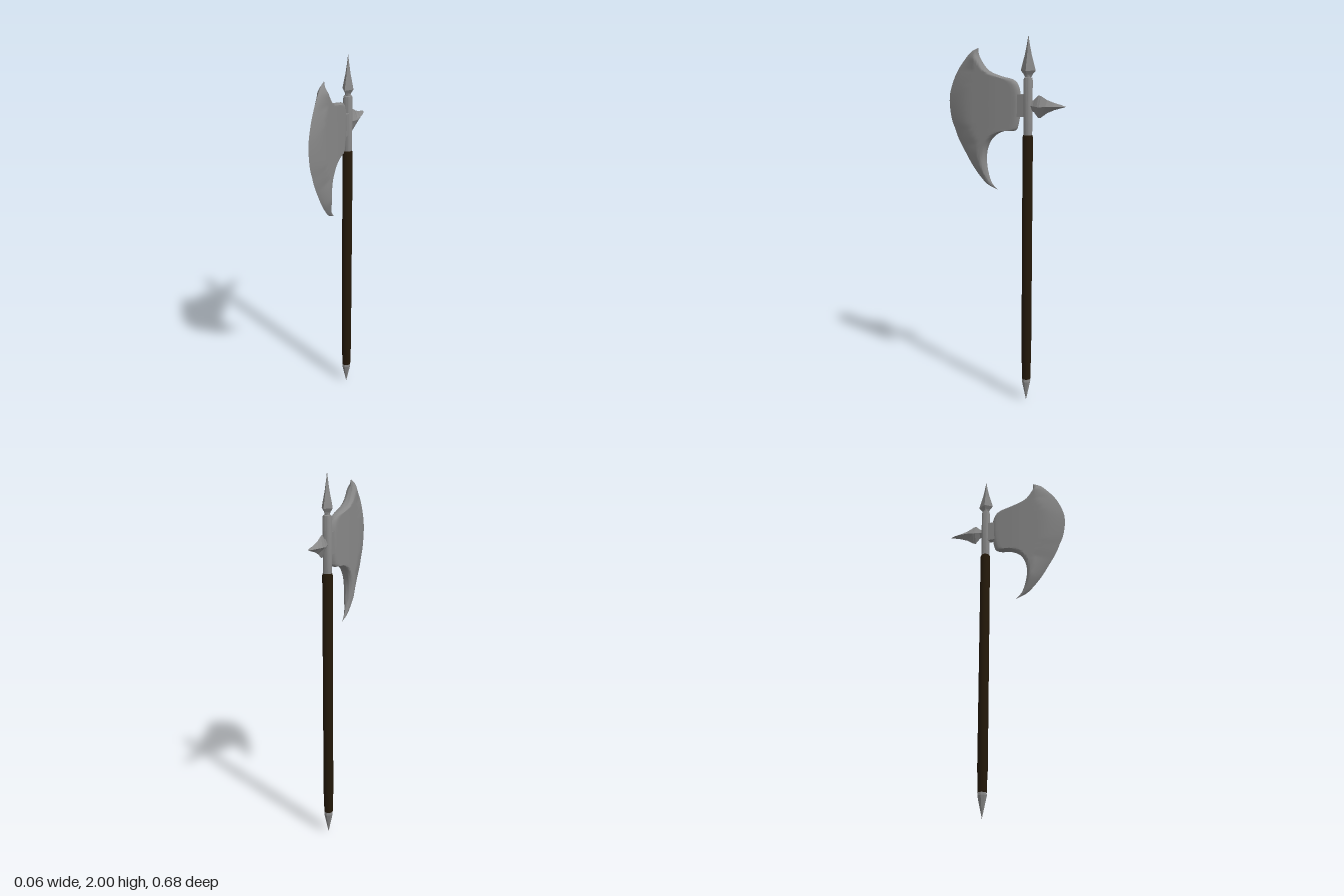
import * as THREE from 'three';
import { ParametricGeometry } from 'three/addons/geometries/ParametricGeometry.js';
import { toCreasedNormals } from 'three/addons/utils/BufferGeometryUtils.js';

const AXIS_Z = -0.127;

// Matching points on the blade: [inner z, inner y, cutting edge z, cutting edge y], top horn to bottom horn
const BLADE = [
  [0.16, 1.935, 0.16, 1.935], [0.16, 1.9, 0.205, 1.913], [0.14, 1.86, 0.242, 1.875],
  [0.1, 1.818, 0.285, 1.82], [0.03, 1.792, 0.312, 1.77], [-0.055, 1.77, 0.331, 1.72],
  [-0.08, 1.73, 0.339, 1.69], [-0.086, 1.64, 0.342, 1.64], [-0.075, 1.55, 0.335, 1.58],
  [-0.06, 1.516, 0.325, 1.54], [0, 1.51, 0.308, 1.5], [0.05, 1.49, 0.29, 1.455],
  [0.085, 1.46, 0.265, 1.41], [0.11, 1.41, 0.24, 1.37], [0.118, 1.35, 0.205, 1.315],
  [0.108, 1.285, 0.165, 1.265], [0.085, 1.225, 0.115, 1.217], [0.05, 1.19, 0.05, 1.19],
];

// Rear spike sections: [z, centre y, half height, half width]
const SPIKE = [
  [-0.14, 1.645, 0.024, 0.012], [-0.16, 1.645, 0.03, 0.014], [-0.186, 1.642, 0.058, 0.023],
  [-0.2, 1.642, 0.055, 0.025], [-0.235, 1.645, 0.033, 0.025], [-0.275, 1.647, 0.018, 0.022],
  [-0.31, 1.648, 0.009, 0.014], [-0.34, 1.648, 0, 0],
];

function bladeGeometry() {
  const curve = (k) => new THREE.CatmullRomCurve3(BLADE.map((p) => new THREE.Vector3(0, p[k + 1], p[k])));
  const inner = curve(0), edge = curve(2);
  const a = new THREE.Vector3(), b = new THREE.Vector3();
  const geo = new ParametricGeometry((u, s, out) => {
    inner.getPoint(u, a);
    edge.getPoint(u, b);
    const length = a.distanceTo(b);
    // Out along one cheek and back along the other
    const side = s < 0.5 ? -1 : 1;
    const t = Math.pow(1 - Math.abs(1 - 2 * s), 1.6);
    out.lerpVectors(a, b, t);
    const bevelWidth = Math.min(0.11, 0.6 * length) + 0.001;
    const bevel = Math.pow(Math.min(1, length * (1 - t) / bevelWidth), 0.8);
    const rounding = Math.sqrt(Math.min(1, length * t / 0.02));
    const horn = Math.min(1, length / 0.08);
    const neck = THREE.MathUtils.smoothstep(out.z, -0.12, 0.1);
    out.x = side * (0.017 + 0.011 * neck) * bevel * rounding * horn;
  }, 68, 32);
  return toCreasedNormals(geo, 0.9);
}

function spikeGeometry() {
  const last = SPIKE.length - 1;
  return new ParametricGeometry((u, v, out) => {
    const [z, y, h, w] = SPIKE[Math.round(v * last)];
    const angle = -u * Math.PI * 2;
    out.set(w * Math.cos(angle), y + h * Math.sin(angle), z);
  }, 4, last);
}

export function createModel() {
  const group = new THREE.Group();
  const metal = new THREE.MeshStandardMaterial({ color: 0x888888 });
  const facetedMetal = new THREE.MeshStandardMaterial({ color: 0x888888, flatShading: true });
  const wood = new THREE.MeshStandardMaterial({ color: 0x231809 });

  const add = (name, geometry, material, z = 0) => {
    const mesh = new THREE.Mesh(geometry, material);
    mesh.name = name;
    mesh.position.z = z;
    group.add(mesh);
    return mesh;
  };
  // Turned part on the shaft axis, listed bottom to top as [radius, y]
  const turned = (name, points, sides, material) => {
    const profile = points.map(([r, y]) => new THREE.Vector2(r, y));
    const lathe = new THREE.LatheGeometry(profile, sides);
    return add(name, toCreasedNormals(lathe, 0.6), material, AXIS_Z);
  };

  // Shaft with pointed foot
  turned('shaft', [[0, 0.13], [0.024, 0.13], [0.025, 0.22], [0.027, 0.24], [0.027, 1.485], [0.023, 1.495], [0, 1.495]], 16, wood);
  turned('footSpike', [[0, 0], [0.012, 0.055], [0.025, 0.115], [0.022, 0.138], [0, 0.138]], 8, facetedMetal);

  // Metal socket and its neck
  turned('socket', [[0.023, 1.48], [0.024, 1.775], [0.021, 1.787], [0.014, 1.79], [0.014, 1.81], [0, 1.81]], 16, metal);

  // Flattened four-sided point
  const point = turned('topPoint', [[0, 1.787], [0.018, 1.79], [0.026, 1.805], [0.042, 1.823], [0.035, 1.85],
    [0.02, 1.9], [0.009, 1.95], [0, 2]], 4, facetedMetal);
  point.scale.x = 0.72;

  // Axe blade and the block joining it to the socket
  add('blade', bladeGeometry(), metal);
  const joint = add('bladeJoint', new THREE.BoxGeometry(0.03, 0.115, 0.06), metal, -0.1);
  joint.position.y = 1.645;

  // Rear spike
  add('rearSpike', spikeGeometry(), facetedMetal);

  return group;
}
